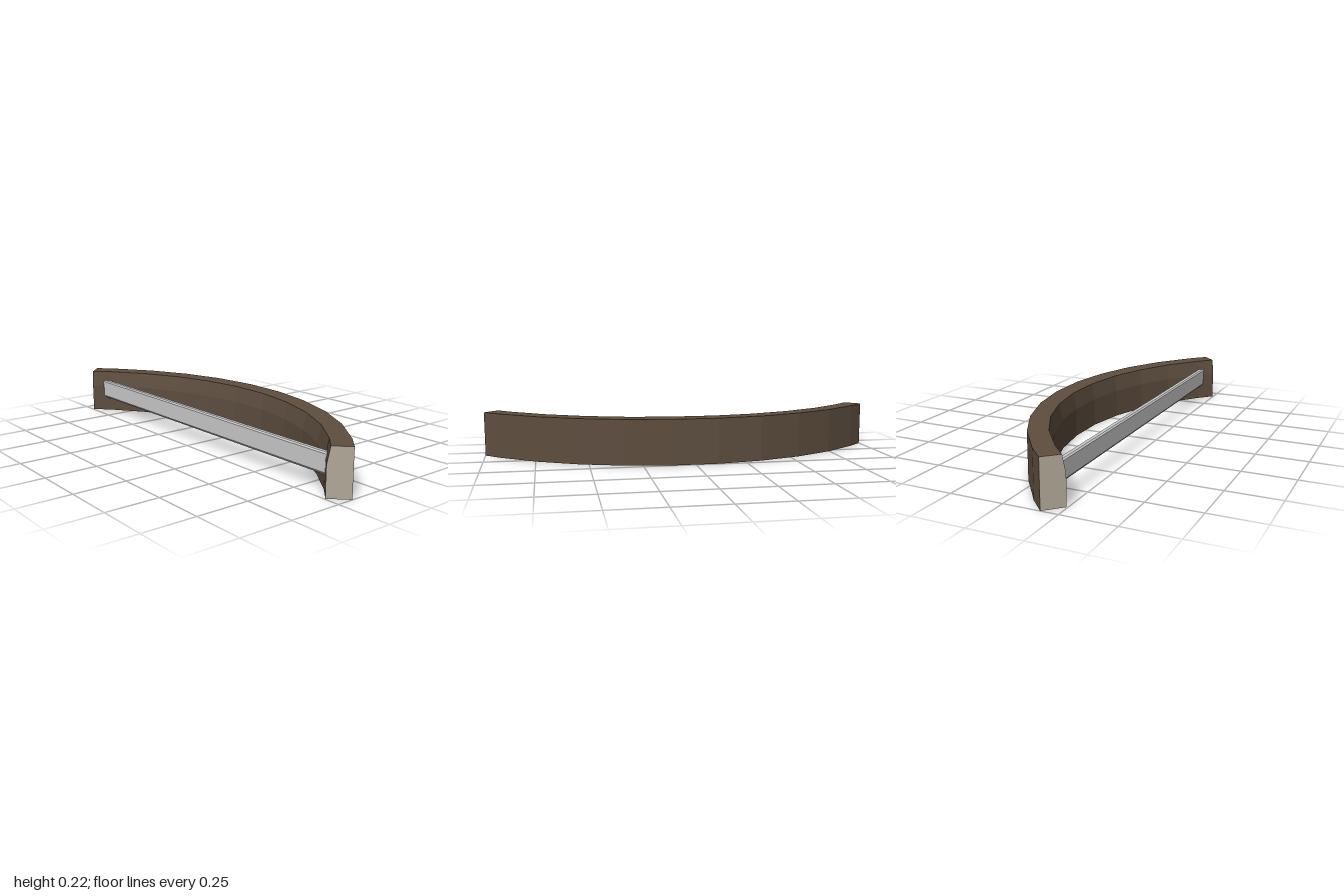
import * as THREE from 'three';

const wood = new THREE.MeshStandardMaterial({ color: 0x5e4e3f });
wood.name = 'dark brown';
const endTone = new THREE.MeshStandardMaterial({ color: 0xb0a898 });
endTone.name = 'beige';
const metal = new THREE.MeshStandardMaterial({ color: 0xcbcbcb });
metal.name = 'light grey';

const CENTRE_Z = 1.15;
const STEP = THREE.MathUtils.degToRad(9.116);
// Arc cross-section as [radius, height], bevelled on the inner top edge
const PROFILE = [[1.4, 0], [1.4, 0.22], [1.308, 0.22], [1.293, 0.14], [1.293, 0]];

// Cross-section placed at an angle along the arc
const section = (angle) => PROFILE.map(([r, y]) =>
  [r * Math.sin(angle), y, CENTRE_Z - r * Math.cos(angle)]);

function meshFrom(points, material, name) {
  const geometry = new THREE.BufferGeometry();
  geometry.setAttribute('position', new THREE.Float32BufferAttribute(points.flat(), 3));
  geometry.computeVertexNormals();
  const mesh = new THREE.Mesh(geometry, material);
  mesh.name = name;
  return mesh;
}

export function createModel() {
  const model = new THREE.Group();
  model.name = 'curvedBeam';

  // Faceted curved beam, with half segments at both ends
  const angles = [-5, -4.5, -3.5, -2.5, -1.5, -0.5, 0.5, 1.5, 2.5, 3.5, 4.5, 5];
  const rings = angles.map((k) => section(k * STEP));
  const skin = [];
  for (let s = 0; s < rings.length - 1; s++) {
    for (let i = 0; i < PROFILE.length; i++) {
      const j = (i + 1) % PROFILE.length;
      const a = rings[s], b = rings[s + 1];
      skin.push(a[i], a[j], b[j], a[i], b[j], b[i]);
    }
  }
  model.add(meshFrom(skin, wood, 'archBeam'));

  // Pale cut faces at the two ends
  for (const side of [-1, 1]) {
    const ring = section(side * 5 * STEP);
    const cap = [];
    for (let i = 1; i < ring.length - 1; i++) {
      cap.push(ring[0], ...(side > 0 ? [ring[i], ring[i + 1]] : [ring[i + 1], ring[i]]));
    }
    model.add(meshFrom(cap, endTone, side > 0 ? 'leftEnd' : 'rightEnd'));
  }

  // Straight cross bar with bevelled front edges, profile as [z, y]
  const barProfile = [[0.175, 0.075], [0.193, 0.075], [0.2, 0.085],
    [0.2, 0.165], [0.193, 0.171], [0.175, 0.171]];
  const shape = new THREE.Shape(barProfile.map(([z, y]) => new THREE.Vector2(-z, y)));
  const barGeometry = new THREE.ExtrudeGeometry(shape, { depth: 1.77, bevelEnabled: false });
  barGeometry.translate(0, 0, -0.885).rotateY(Math.PI / 2);
  const bar = new THREE.Mesh(barGeometry, metal);
  bar.name = 'crossBar';
  model.add(bar);

  return model;
}
